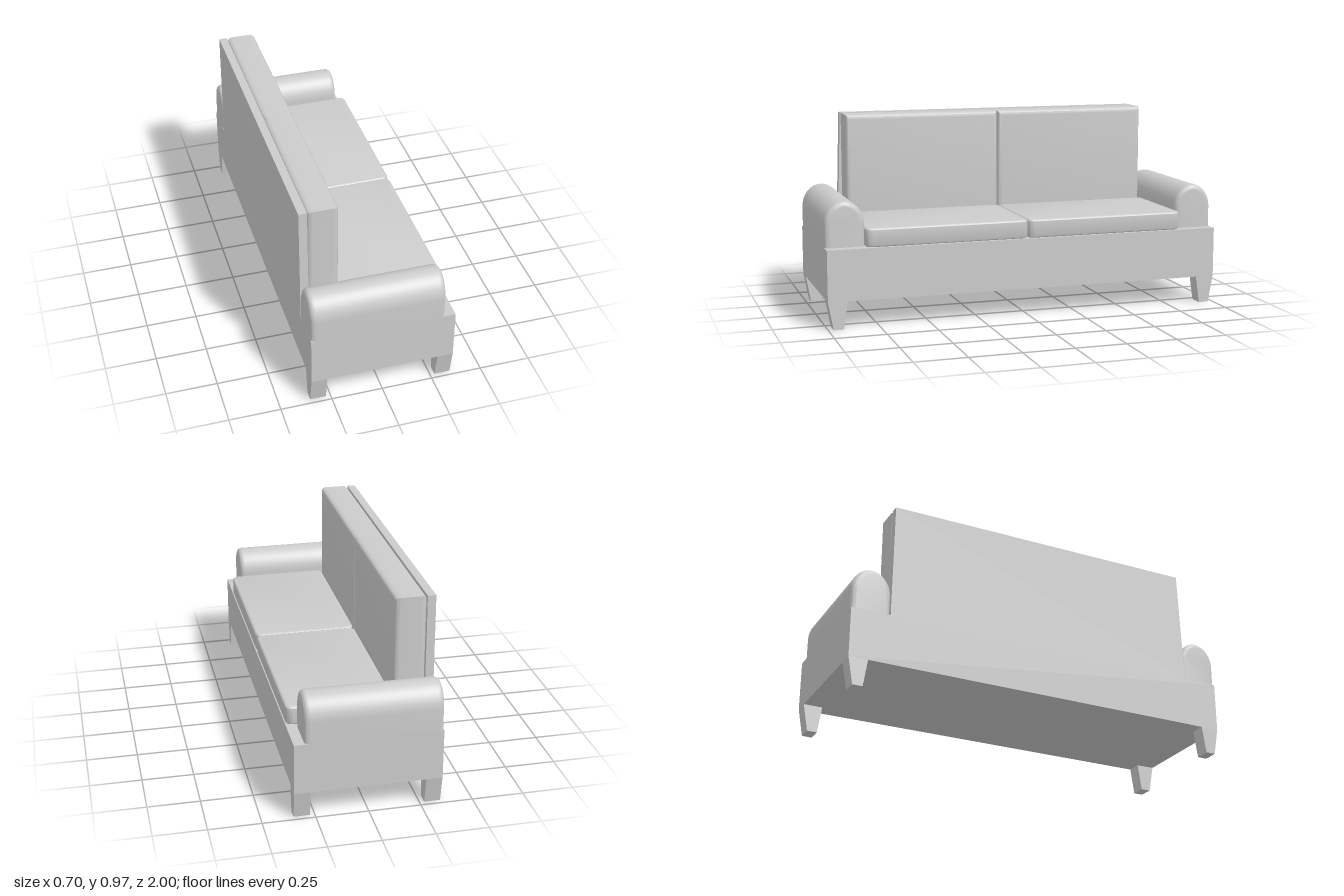
import * as THREE from 'three';
import { toCreasedNormals } from 'three/addons/utils/BufferGeometryUtils.js';

const material = new THREE.MeshStandardMaterial({ color: 0xcccccc });

function polygon(points) {
  return new THREE.Shape(points.map(([a, b]) => new THREE.Vector2(a, b)));
}

function rectangle(a0, a1, b0, b1) {
  return polygon([[a0, b0], [a1, b0], [a1, b1], [a0, b1]]);
}

// Extrudes from 0 to length, with the end edges rounded inside the outline
function extrude(shape, length, bevel = 0) {
  return new THREE.ExtrudeGeometry(shape, {
    depth: length - 2 * bevel, curveSegments: 12,
    bevelEnabled: bevel > 0, bevelThickness: bevel, bevelSize: bevel,
    bevelOffset: -bevel, bevelSegments: 6,
  }).translate(0, 0, bevel);
}

// Extrudes a (-z, y) outline along x, from x0 to x1
function alongX(shape, x0, x1, bevel) {
  return extrude(shape, x1 - x0, bevel).rotateY(Math.PI / 2).translate(x0, 0, 0);
}

export function createModel() {
  const group = new THREE.Group();
  const add = (name, geometry) => {
    const mesh = new THREE.Mesh(toCreasedNormals(geometry, 0.6), material);
    mesh.name = name;
    group.add(mesh);
  };

  // Base box
  add('base', new THREE.BoxGeometry(0.7, 0.25, 2).translate(0, 0.26, 0));

  // Back panel, slightly wider at the bottom of one end
  add('backPanel', alongX(polygon([[-0.82, 0.385], [0.805, 0.385], [0.8, 0.97], [-0.8, 0.97]]), -0.35, -0.31));

  for (const side of [-1, 1]) {
    const end = side < 0 ? 'Right' : 'Left';

    // Legs taper across the length only
    const leg = [[0.925, 0], [0.975, 0], [1, 0.135], [0.905, 0.135]].map(([z, y]) => [-side * z, y]);
    add('front' + end + 'Leg', alongX(polygon(leg), 0.273, 0.35));
    add('back' + end + 'Leg', alongX(polygon(leg), -0.35, -0.273));

    // Armrest with domed top, rounded ends and a flat bottom
    const c = -side * 0.9025, r = 0.0975;
    const dome = new THREE.Shape();
    dome.moveTo(c - r, 0.355);
    dome.lineTo(c + r, 0.355);
    dome.lineTo(c + r, 0.49);
    dome.absellipse(c, 0.49, r, 0.115, 0, Math.PI, false, 0);
    dome.closePath();
    const arm = alongX(dome, -0.35, 0.3, 0.025);
    const p = arm.attributes.position;
    for (let i = 0; i < p.count; i++) p.setY(i, Math.max(p.getY(i), 0.385));
    add('armrest' + end, arm);

    // Back cushion, rounded towards its front and back faces
    const b0 = Math.min(0, -side * 0.8), b1 = b0 + 0.8;
    add('backCushion' + end, alongX(rectangle(b0, b1, 0.387, 0.97), -0.31, -0.16, 0.024));

    // Seat cushion with rounded vertical corners and softened rims
    const x0 = -0.16, x1 = 0.348, q = 0.035, z0 = Math.min(0, -side * 0.81), z1 = z0 + 0.81;
    const seat = new THREE.Shape();
    seat.moveTo(x0 + q, z0);
    seat.lineTo(x1 - q, z0);
    seat.quadraticCurveTo(x1, z0, x1, z0 + q);
    seat.lineTo(x1, z1 - q);
    seat.quadraticCurveTo(x1, z1, x1 - q, z1);
    seat.lineTo(x0 + q, z1);
    seat.quadraticCurveTo(x0, z1, x0, z1 - q);
    seat.lineTo(x0, z0 + q);
    seat.quadraticCurveTo(x0, z0, x0 + q, z0);
    add('seatCushion' + end, extrude(seat, 0.091, 0.01).rotateX(-Math.PI / 2).translate(0, 0.387, 0));
  }
  return group;
}
